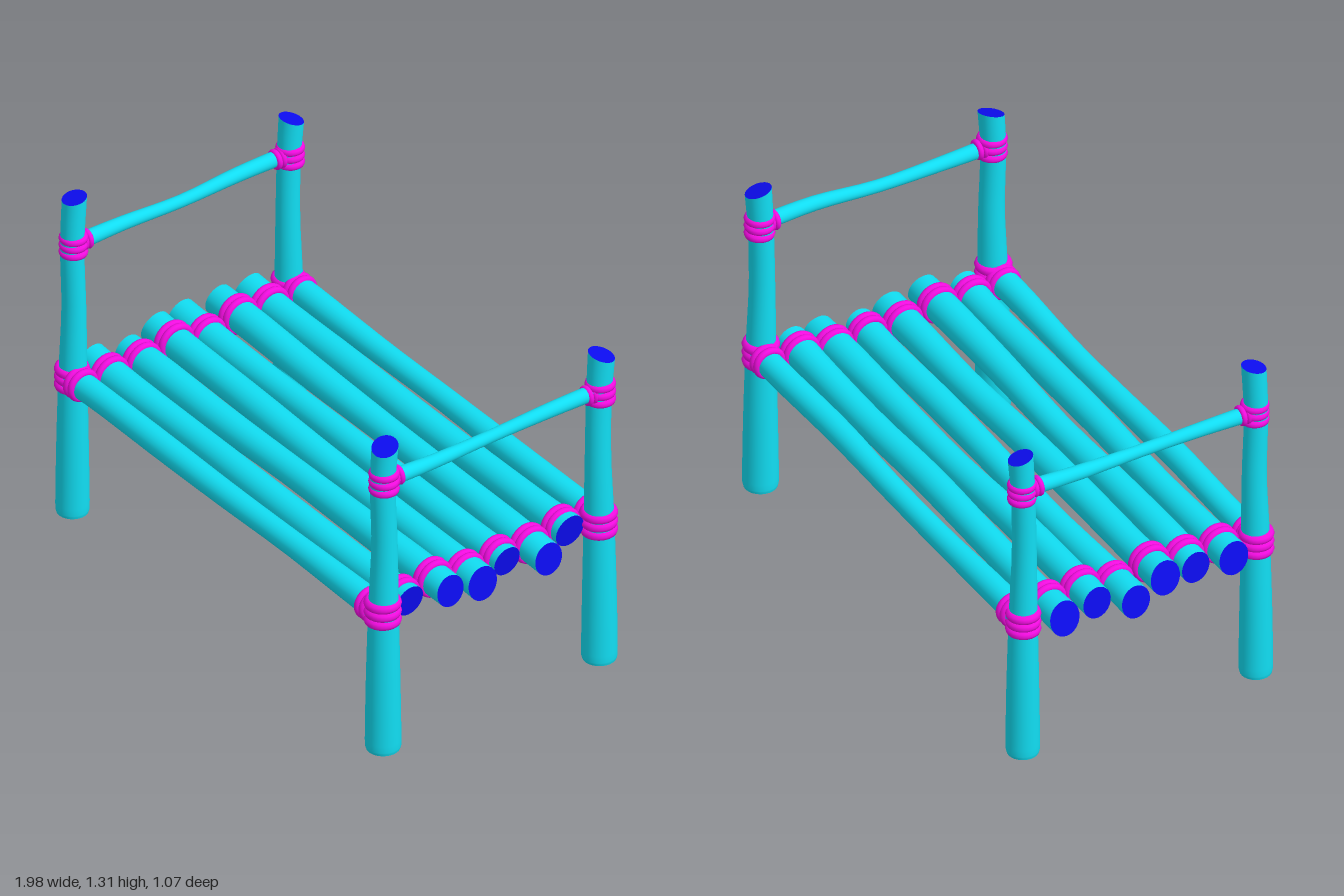
import * as THREE from 'three';
import { mergeVertices } from 'three/addons/utils/BufferGeometryUtils.js';

const bark = new THREE.MeshStandardMaterial({ color: 0x11ddf2 });
const cutWood = new THREE.MeshStandardMaterial({ color: 0x0c0cee });
const rope = new THREE.MeshStandardMaterial({ color: 0xf20ce0 });

// Turns a geometry built along y so that it runs along the chosen axis
function orient(geo, axis) {
  if (axis === 'x') geo.rotateZ(-Math.PI / 2);
  if (axis === 'z') geo.rotateX(Math.PI / 2);
  return geo;
}

// Uneven round timber. stations: [along, radius, offsetA, offsetB];
// cuts: slope of the start and end faces, as [[a, b], [a, b]]
function timber(name, axis, stations, cuts) {
  const path = new THREE.CatmullRomCurve3(stations.map(s => new THREE.Vector3(s[2], s[0], s[3])));
  const girth = new THREE.SplineCurve(stations.map(s => new THREE.Vector2(s[0], s[1])));
  const bend = (geo, endT) => {
    const pos = geo.attributes.position;
    for (let i = 0; i < pos.count; i++) {
      const t = endT ?? pos.getY(i) + 0.5;
      const c = path.getPoint(t), r = girth.getPoint(t).y;
      const a = pos.getX(i) * r, b = pos.getZ(i) * r;
      const w0 = Math.max(0, 1 - t * 4), w1 = Math.max(0, t * 4 - 3);
      const slide = w0 * (cuts[0][0] * a + cuts[0][1] * b) + w1 * (cuts[1][0] * a + cuts[1][1] * b);
      pos.setXYZ(i, c.x + a, c.y + slide, c.z + b);
    }
    geo.deleteAttribute('uv');
    geo.deleteAttribute('normal');
    const merged = mergeVertices(geo, 1e-5);
    merged.computeVertexNormals();
    return orient(merged, axis);
  };
  const group = new THREE.Group();
  group.name = name;
  const add = (part, geo, mat) => {
    const mesh = new THREE.Mesh(geo, mat);
    mesh.name = part;
    group.add(mesh);
  };
  add('bark', bend(new THREE.CylinderGeometry(1, 1, 1, 24, 16, true)), bark);
  add('startCut', bend(new THREE.CircleGeometry(1, 24).rotateX(Math.PI / 2), 0), cutWood);
  add('endCut', bend(new THREE.CircleGeometry(1, 24).rotateX(-Math.PI / 2), 1), cutWood);
  return group;
}

// Row of rope rings around an axis, centred on a point
function lashing(name, axis, [x, y, z], radius, tube, count, pitch) {
  const group = new THREE.Group();
  group.name = name;
  for (let i = 0; i < count; i++) {
    const geo = new THREE.TorusGeometry(radius, tube, 10, 28).rotateX(Math.PI / 2);
    geo.translate(0, (i - (count - 1) / 2) * pitch, 0);
    const ring = new THREE.Mesh(orient(geo, axis), rope);
    ring.name = 'ropeRing';
    group.add(ring);
  }
  group.position.set(x, y, z);
  return group;
}

export function createModel() {
  const model = new THREE.Group();
  model.name = 'logBed';

  // Corner posts with slanted tops: x, z, height, top slope, thickness, lower lashing height
  const posts = [
    ['frontLeftPost', 0.92, 0.465, 1.25, [-0.2, -0.3], 1.0, 0.57],
    ['backLeftPost', 0.92, -0.465, 1.258, [-0.2, 0.28], 1.0, 0.57],
    ['frontRightPost', -0.886, 0.462, 1.302, [0.05, -0.2], 0.94, 0.56],
    ['backRightPost', -0.886, -0.47, 1.255, [-0.1, 0.3], 0.94, 0.56],
  ];
  for (const [name, x, z, h, cut, k, y] of posts) {
    const s = Math.sign(z);
    model.add(timber(name, 'y', [
      [0, 0.06 * k, x, z], [0.02, 0.064 * k, x, z], [0.3, 0.06 * k, x, z],
      [0.6, 0.053 * k, x, z - s * 0.002], [0.85, 0.046 * k, x, z - s * 0.006],
      [1.1, 0.045 * k, x - 0.002, z], [h, 0.047 * k, x, z + (s < 0 ? -0.009 : -0.008)],
    ], [[0, 0], cut]));
    model.add(lashing(name + 'LowerLashing', 'y', [x - 0.003, y, z], 0.048 * k, 0.019 * k, 3, 0.034 * k));
    model.add(lashing(name + 'UpperLashing', 'y', [x, 1.11, z - 0.004], 0.039 * k, 0.016 * k, 3, 0.031 * k));
  }

  // Deck logs: z, start x, end x, height at start, height at end, radius, cut slopes
  const logs = [
    [-0.475, -0.88, 0.91, 0.57, 0.57, 0.049, 0, 0],
    [-0.345, -0.96, 0.91, 0.565, 0.565, 0.06, 0.3, 0.1],
    [-0.21, -0.95, 0.97, 0.58, 0.54, 0.06, 0.15, -0.15],
    [-0.075, -0.985, 0.91, 0.55, 0.55, 0.058, 0.2, 0.1],
    [0.066, -0.945, 0.96, 0.58, 0.54, 0.061, 0.25, -0.15],
    [0.205, -0.915, 0.96, 0.555, 0.57, 0.06, 0.1, -0.15],
    [0.343, -0.94, 0.91, 0.555, 0.552, 0.059, 0.2, 0.1],
    [0.467, -0.88, 0.91, 0.56, 0.563, 0.05, 0, 0],
  ];
  logs.forEach(([z, x0, x1, y0, y1, r, c0, c1], i) => {
    const wob = n => 0.005 * Math.sin(i * 2.3 + n * 1.9);
    const stations = [0, 0.1, 0.3, 0.5, 0.7, 0.9, 1].map((t, n) => [
      x0 + (x1 - x0) * t,
      r * (1 - 0.1 * Math.sin(Math.PI * t)) + wob(n) * 0.4,
      -(y0 + (y1 - y0) * t) + wob(n + 2) * 0.6,
      z + wob(n) * Math.sin(Math.PI * t),
    ]);
    // Cuts lean so that some end faces show from above
    model.add(timber('deckLog' + (i + 1), 'x', stations, [[-c0, 0.1], [-c1, 0.05]]));
    for (const [side, x] of [['Right', -0.832], ['Left', 0.856]]) {
      const y = y0 + (y1 - y0) * (x - x0) / (x1 - x0);
      model.add(lashing('deckLashing' + side + (i + 1), 'x', [x, y, z], r * 0.99, 0.014, 2, 0.026));
    }
  });

  // End rails joining the tops of the posts
  for (const [name, x, d] of [['leftRail', 0.92, 0.004], ['rightRail', -0.886, -0.004]]) {
    model.add(timber(name, 'z', [
      [-0.46, 0.029, x, -1.115], [-0.25, 0.027, x + d, -1.115 - d],
      [0, 0.023, x - d, -1.106], [0.25, 0.026, x, -1.108 + d], [0.46, 0.03, x, -1.11],
    ], [[0, 0], [0, 0]]));
    for (const z of [-0.42, 0.412])
      model.add(lashing(name + 'Lashing', 'z', [x, 1.112, z], 0.027, 0.011, 2, 0.02));
  }
  return model;
}
